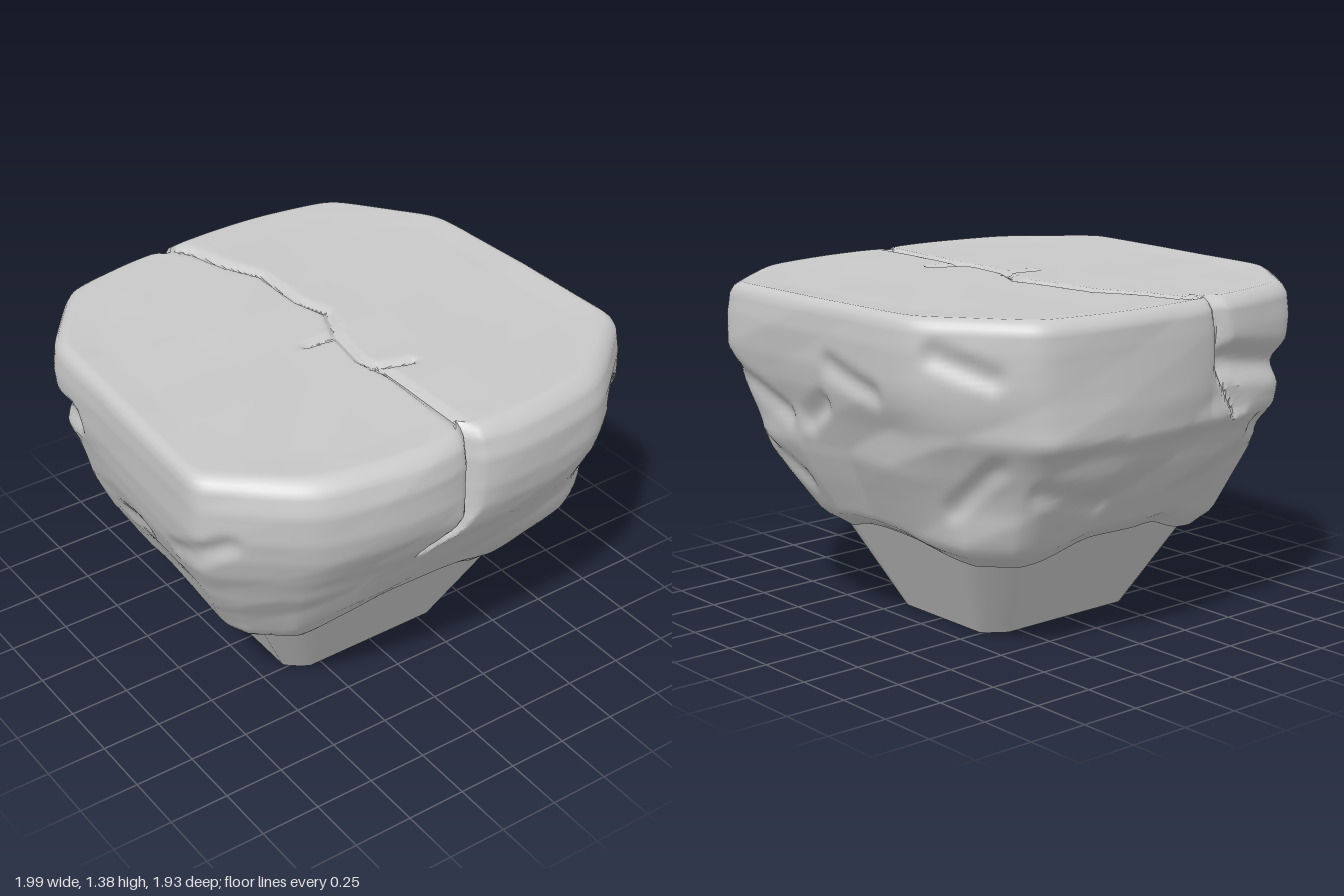
import * as THREE from 'three';
import { toCreasedNormals } from 'three/addons/utils/BufferGeometryUtils.js';

const { lerp, clamp, smoothstep } = THREE.MathUtils;
const TAU = Math.PI * 2;

// Seeded lattice noise, linear between points, so it reads as broad chipped planes
const hash = (i, j) => {
  const v = Math.sin(i * 127.1 + j * 311.7 + 4.3) * 43758.5453;
  return (v - Math.floor(v)) * 2 - 1;
};
function facetNoise(u, v, wrap) {
  const i = Math.floor(u), j = Math.floor(v), a = u - i, b = v - j;
  const h = (p, q) => hash(((p % wrap) + wrap) % wrap, q);
  return a + b < 1
    ? h(i, j) * (1 - a - b) + h(i + 1, j) * a + h(i, j + 1) * b
    : h(i + 1, j + 1) * (a + b - 1) + h(i, j + 1) * (1 - a) + h(i + 1, j) * (1 - b);
}

function segmentDistance(px, py, [ax, ay, bx, by]) {
  const dx = bx - ax, dy = by - ay;
  const t = clamp(((px - ax) * dx + (py - ay) * dy) / (dx * dx + dy * dy), 0, 1);
  return Math.hypot(px - ax - dx * t, py - ay - dy * t);
}
const segments = (path) => path.slice(1).map((p, i) => [...path[i], ...p]);
// 1 on the nearest segment, falling smoothly to 0 at the given width
const groove = (x, y, list, width) =>
  1 - smoothstep(Math.min(...list.map((q) => segmentDistance(x, y, q))), 0, width);

// Closed rings running upwards, each point given by place(ring, angle)
function loft(rings, cols, place, crease) {
  const pos = [], index = [];
  for (let i = 0; i <= rings; i++) {
    for (let j = 0; j < cols; j++) pos.push(...place(i, (j / cols) * TAU));
  }
  for (let i = 0; i < rings; i++) {
    for (let j = 0; j < cols; j++) {
      const k = (j + 1) % cols, a = i * cols + j, b = i * cols + k;
      index.push(a, a + cols, b, b, a + cols, b + cols);
    }
  }
  const g = new THREE.BufferGeometry();
  g.setAttribute('position', new THREE.Float32BufferAttribute(pos, 3));
  g.setIndex(index);
  return toCreasedNormals(g, crease);
}

// Unit outline of the slab, as edge lines (normal x, normal z, distance), softly joined
const EDGES = [
  [0, 1, 1.01], [0.664, 0.747, 1.135], [-0.664, 0.747, 1.135],
  [0.21, 0.977, 1.05], [-0.21, 0.977, 1.05],
  [0.999, -0.048, 0.975], [-0.999, -0.048, 0.975],
  [0.8, -0.6, 1.078], [-0.808, -0.59, 1.09],
  [0, -1, 1.01], [0.2, -0.98, 1.05], [-0.204, -0.979, 1.03],
];
function slabRadius(c, s) {
  let sum = 0;
  for (const [nx, nz, d] of EDGES) sum += Math.max(0, (nx * c + nz * s) / d) ** 50;
  return sum ** (-1 / 50);
}
// Unit outline of the base: a square with clipped corners
const squareRadius = (c, s) =>
  Math.min(1 / Math.max(Math.abs(c), Math.abs(s)), 1.79 / (Math.abs(c) + Math.abs(s)));

// Height, half width, front depth, back depth, squareness
const PROFILE = [
  [0.34, 0.60, 0.50, 0.59, 0.8], [0.45, 0.72, 0.58, 0.67, 0.55],
  [0.60, 0.80, 0.69, 0.76, 0.35], [0.75, 0.88, 0.79, 0.855, 0.18],
  [0.84, 0.91, 0.84, 0.90, 0.1], [0.90, 0.93, 0.88, 0.95, 0.04],
  [1.02, 0.97, 0.935, 0.96, 0], [1.12, 0.99, 0.96, 0.96, 0],
  [1.25, 0.998, 0.965, 0.96, 0], [1.33, 0.992, 0.94, 0.955, 0],
  [1.36, 0.98, 0.91, 0.935, 0], [1.375, 0.955, 0.88, 0.91, 0],
];
function profileAt(y) {
  let k = 0;
  while (k < PROFILE.length - 2 && y > PROFILE[k + 1][0]) k++;
  const a = PROFILE[k], b = PROFILE[k + 1];
  const t = clamp((y - a[0]) / (b[0] - a[0]), 0, 1);
  return a.map((v, n) => lerp(v, b[n], t));
}

// Crack across the top (x, z) with two short branches, and its ends down the faces (x, y)
const topCrack = [
  ...segments([
    [-0.21, -0.95], [-0.11, -0.82], [-0.06, -0.65], [0.02, -0.5], [0.03, -0.25],
    [0.07, -0.1], [0, 0.05], [-0.03, 0.25], [0, 0.4], [0, 0.95],
  ]),
  [-0.14, 0.05, 0, 0.06], [-0.02, 0.33, 0.13, 0.38],
];
const frontCrack = segments([[0, 1.4], [0, 1.02], [-0.04, 0.95], [-0.16, 0.87]]);
const backCrack = segments([[-0.21, 1.4], [-0.24, 1.1], [-0.34, 0.92]]);

// Gouges on the sides as angle, height pairs
const gouges = [
  [0.75, 1.15, 0.36, 0.88], [0.2, 0.87, 0.05, 0.97], [0.62, 0.74, 0.45, 0.6],
  [-0.6, 1.24, -0.8, 1.16], [-0.05, 1.13, -0.3, 1.06], [-0.62, 0.62, -0.8, 0.8],
  [2.5, 1.1, 2.75, 0.92], [3.1, 0.8, 3.4, 0.7], [3.9, 0.75, 4.15, 0.82], [5.0, 0.62, 5.3, 0.7],
];
// Undercut below the right rear slab
const undercut = segments([[3.55, 1.1], [3.95, 1.04], [4.42, 1.12]]);

const SIDE = 46, TOP = 48;

function capSide(v, angle) {
  const c = Math.cos(angle), s = Math.sin(angle);
  const rise = Math.abs(s) < Math.abs(c) ? 0.06 : s > 0 ? 0.14 : 0.08;
  const low = 0.36 + rise * smoothstep(Math.cos(2 * angle) ** 2, 0, 0.9);
  const y = lerp(low, 1.375, v);
  const [, w, front, back, square] = profileAt(y);
  let r = lerp(slabRadius(c, s), squareRadius(c, s), square);
  r += lerp(0.024, 0.008, smoothstep(y, 0.85, 1.1)) * facetNoise((angle / TAU) * 19, y * 6.5, 19);
  // Swollen front left corner, leaner rear left corner
  const belly = Math.exp(-(((y - 0.66) / 0.17) ** 2));
  r += belly * (0.08 * Math.exp(-(((angle - 0.8) / 0.22) ** 2))
    - 0.035 * Math.exp(-(((angle - 5.5) / 0.25) ** 2)));
  // Rounded lower lip
  r -= 0.05 * (1 - smoothstep(v, 0, 0.06));
  // Side gouges
  const turn = angle > 5.35 ? angle - TAU : angle;
  r -= 0.025 * groove(turn, y, gouges, 0.075) + 0.05 * groove(angle, y, undercut, 0.1);
  // Splits between the two lobes, front and back
  const x = r * c * w;
  if (s > 0) {
    r -= 0.05 * smoothstep(y, 0.95, 1.15) * Math.exp(-Math.abs(x) / 0.1);
    r -= 0.04 * groove(x, y, frontCrack, 0.04);
  } else {
    r -= 0.02 * smoothstep(y, 0.8, 1) * Math.exp(-Math.abs(x + 0.2) / 0.08);
    r -= 0.035 * groove(x, y, backCrack, 0.045);
  }
  return [r * c * w, y, r * s * (s > 0 ? front : back)];
}

function capPoint(i, angle) {
  // Underside tucks in behind the base
  if (i === 0) {
    const [x, y, z] = capSide(0, angle);
    return [x * 0.75, y + 0.03, z * 0.75];
  }
  if (i <= SIDE + 1) return capSide(1 - (1 - (i - 1) / SIDE) ** 1.25, angle);
  // Gently dished top with the crack cut in
  const k = 1 - (i - SIDE - 1) / TOP;
  const [ex, ey, ez] = capSide(1, angle);
  const x = ex * k, z = ez * k;
  const edge = Math.min(1, (1 - k) * 8);
  const dish = 0.008 * (1 - z * z) + 0.005 * facetNoise(x * 4 + 20, z * 4 + 20, 997);
  return [x, ey - edge * dish - 0.02 * groove(x, z, topCrack, 0.032), z];
}

// Tapered base: underside centre, foot edge, then walls up into the cap
function basePoint(i, angle) {
  if (i === 0) return [0, 0, 0];
  const c = Math.cos(angle), s = Math.sin(angle), r = squareRadius(c, s);
  const y = (i - 1) * 0.14;
  const w = 0.39 + y * 0.52, d = s > 0 ? 0.3 + y * 0.5 : 0.31 + y * 0.58;
  return [r * c * w, y, r * s * d];
}

export function createModel() {
  const model = new THREE.Group();
  model.name = 'splitRock';
  const stone = new THREE.MeshStandardMaterial({ color: 0xc8c8c8 });
  stone.name = 'grey stone';

  const cap = new THREE.Mesh(loft(SIDE + TOP + 1, 300, capPoint, 0.7), stone);
  cap.name = 'rockCap';
  const base = new THREE.Mesh(loft(5, 96, basePoint, 0.9), stone);
  base.name = 'rockBase';
  model.add(cap, base);
  return model;
}
